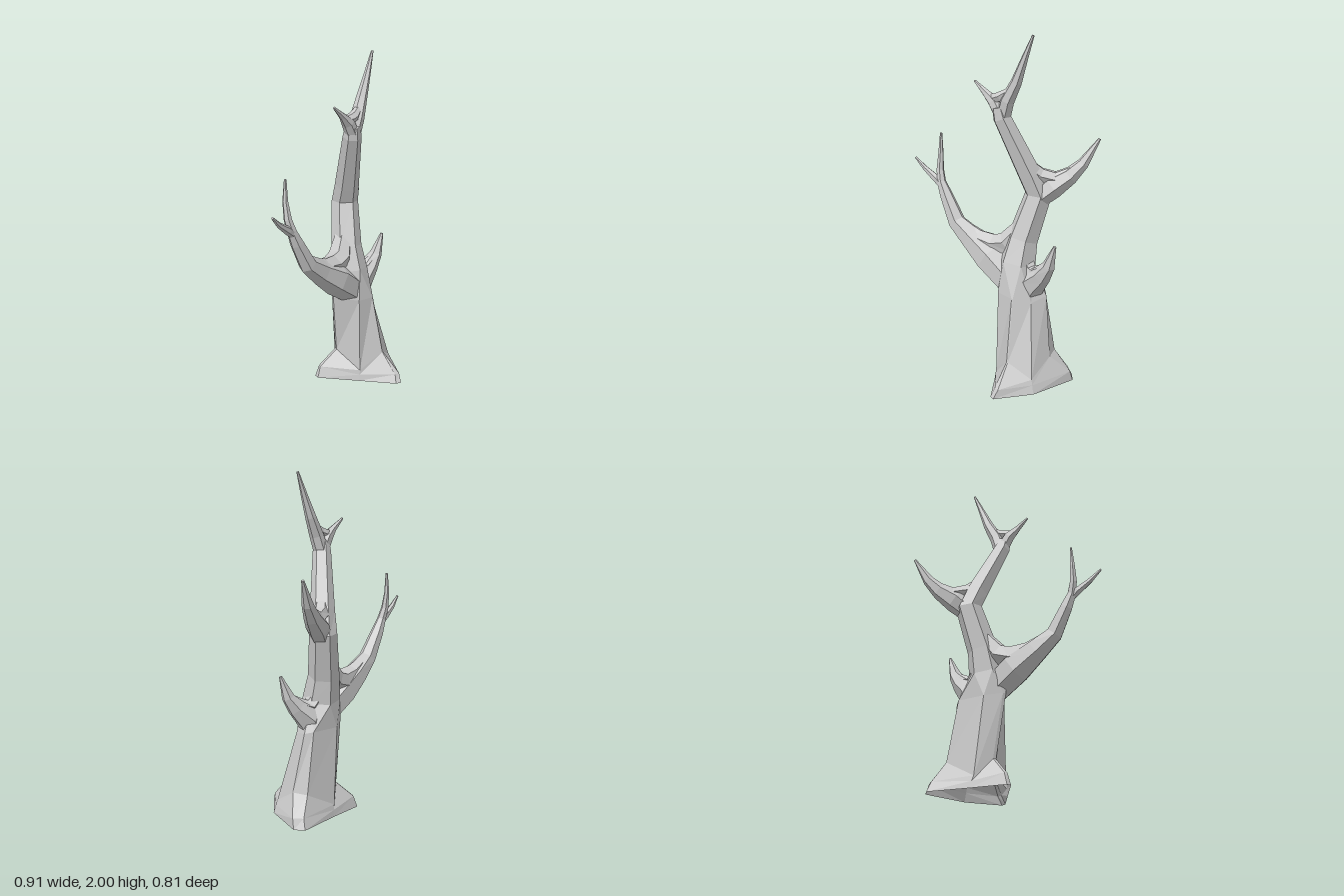
import * as THREE from 'three';

const material = new THREE.MeshStandardMaterial({ color: 0xcccccc, flatShading: true, side: THREE.DoubleSide });

// Skin a stack of equal-sized rings (counter-clockwise about the growth direction); the far end is closed
function loft(name, rings) {
  const pos = [];
  const tri = (a, b, c) => {
    if (a.equals(b) || b.equals(c) || c.equals(a)) return;
    [a, b, c].forEach((p) => pos.push(p.x, p.y, p.z));
  };
  const n = rings[0].length;
  const last = rings[rings.length - 1];
  const tip = last.reduce((s, p) => s.add(p), new THREE.Vector3()).divideScalar(n);
  for (let i = 0; i < n; i++) {
    const j = (i + 1) % n;
    for (let k = 0; k < rings.length - 1; k++) {
      const a = rings[k], b = rings[k + 1];
      tri(a[i], a[j], b[j]);
      tri(a[i], b[j], b[i]);
    }
    tri(last[i], last[j], tip);
  }
  const geometry = new THREE.BufferGeometry();
  geometry.setAttribute('position', new THREE.Float32BufferAttribute(pos, 3));
  geometry.computeVertexNormals();
  const mesh = new THREE.Mesh(geometry, material);
  mesh.name = name;
  return mesh;
}

// Six-sided rings square to a path of stations [x, y, z, radius]
function tubeRings(stations) {
  const pts = stations.map(([x, y, z]) => new THREE.Vector3(x, y, z));
  const u = new THREE.Vector3(0.95, 0, 0.3);
  return pts.map((p, k) => {
    const before = pts[Math.max(k - 1, 0)], after = pts[Math.min(k + 1, pts.length - 1)];
    const t = after.clone().sub(before).normalize();
    u.addScaledVector(t, -u.dot(t)).normalize();
    const v = t.clone().cross(u);
    return Array.from({ length: 6 }, (_, i) => {
      const a = (i / 6) * Math.PI * 2, r = stations[k][3];
      return p.clone().addScaledVector(u, r * Math.cos(a)).addScaledVector(v, r * Math.sin(a));
    });
  });
}

export function createModel() {
  const tree = new THREE.Group();
  tree.name = 'bareTree';
  const limb = (name, stations) => tree.add(loft(name, tubeRings(stations)));
  const ring = (pts) => pts.map((p) => new THREE.Vector3(...p));
  // Six-point rings meet the nine-point root rings by doubling each root ridge
  const widen = (r) => [0, 1, 1, 2, 3, 3, 4, 5, 5].map((i) => r[i]);

  // Trunk, open underneath: right valley, back root, rear valley, left root, front valley, front root; then the stem
  tree.add(loft('trunkAndStem', [
    ring([[0.455, 0, 0.05], [0.4, 0, -0.24], [0.34, 0, -0.27], [0.13, 0, -0.12], [-0.055, 0, 0],
      [-0.05, 0, 0.03], [0.17, 0, 0.16], [0.37, 0, 0.28], [0.405, 0, 0.28]]),
    ring([[0.44, 0.05, 0.05], [0.4, 0.06, -0.22], [0.34, 0.06, -0.24], [0.125, 0.04, -0.11], [-0.03, 0.07, 0],
      [-0.03, 0.07, 0.02], [0.178, 0.04, 0.158], [0.375, 0.05, 0.255], [0.405, 0.05, 0.25]]),
    ring([[0.43, 0.08, 0.05], [0.37, 0.17, -0.1], [0.3, 0.17, -0.17], [0.12, 0.07, -0.1], [0.08, 0.17, 0.0],
      [0.08, 0.17, 0.02], [0.18, 0.07, 0.156], [0.33, 0.17, 0.16], [0.335, 0.17, 0.155]]),
    ring([[0.32, 0.5, 0.0], [0.3, 0.52, -0.11], [0.25, 0.53, -0.13], [0.09, 0.53, -0.06], [0.04, 0.55, 0.04],
      [0.04, 0.55, 0.06], [0.175, 0.54, 0.14], [0.28, 0.53, 0.105], [0.285, 0.53, 0.1]]),
    ...tubeRings([[0.165, 0.7, 0.01, 0.11], [0.16, 0.84, -0.025, 0.092],
      [0.185, 1.1, -0.11, 0.08], [0.175, 1.22, -0.06, 0.072], [0.135, 1.55, 0.095, 0.054],
      [0.13, 1.61, 0.11, 0.042]]).map(widen),
  ]));

  // Fork at the top of the stem
  limb('topTallTwig', [[0.14, 1.55, 0.09, 0.044], [0.17, 1.645, 0.08, 0.042],
    [0.213, 1.75, 0.045, 0.032], [0.255, 1.87, 0.02, 0.02], [0.3, 2.0, -0.01, 0.007]]);
  limb('topShortTwig', [[0.135, 1.56, 0.1, 0.042], [0.095, 1.635, 0.125, 0.037],
    [0.05, 1.68, 0.155, 0.021], [-0.017, 1.74, 0.19, 0.007]]);
  limb('topCrook', [[0.07, 1.66, 0.14, 0.014], [0.11, 1.655, 0.12, 0.03],
    [0.14, 1.665, 0.105, 0.03], [0.185, 1.7, 0.07, 0.02]]);

  // Long branch with its forked end
  limb('longBranch', [[0.17, 0.58, 0.04, 0.09], [0.02, 0.705, 0.115, 0.1], [-0.1, 0.795, 0.18, 0.075],
    [-0.195, 0.88, 0.24, 0.054], [-0.27, 1.03, 0.275, 0.04], [-0.305, 1.11, 0.292, 0.028],
    [-0.326, 1.18, 0.29, 0.023], [-0.335, 1.28, 0.28, 0.016], [-0.332, 1.4, 0.277, 0.007]]);
  limb('longBranchOuterTwig', [[-0.285, 1.075, 0.285, 0.02], [-0.335, 1.125, 0.315, 0.025],
    [-0.4, 1.18, 0.36, 0.016], [-0.45, 1.24, 0.4, 0.007]]);
  limb('longBranchCrook', [[-0.18, 0.875, 0.225, 0.035], [-0.07, 0.8, 0.155, 0.058],
    [0.02, 0.777, 0.09, 0.068], [0.09, 0.8, 0.035, 0.072], [0.15, 0.92, -0.04, 0.05]]);

  // Rear branch
  limb('rearBranch', [[0.19, 1.07, -0.09, 0.06], [0.235, 1.15, -0.18, 0.068], [0.285, 1.215, -0.26, 0.05],
    [0.325, 1.29, -0.32, 0.034], [0.37, 1.43, -0.395, 0.008]]);
  limb('rearBranchCrook', [[0.17, 1.3, -0.025, 0.035], [0.198, 1.215, -0.11, 0.05],
    [0.245, 1.195, -0.195, 0.046], [0.305, 1.25, -0.29, 0.034]]);

  // Short side branch
  limb('sideBranch', [[0.21, 0.5, -0.02, 0.08], [0.255, 0.6, -0.035, 0.086], [0.335, 0.67, -0.06, 0.058],
    [0.385, 0.735, -0.075, 0.038], [0.43, 0.86, -0.088, 0.009]]);
  limb('sideBranchCrook', [[0.18, 0.74, -0.02, 0.05], [0.24, 0.66, -0.03, 0.055],
    [0.3, 0.665, -0.05, 0.048], [0.37, 0.715, -0.07, 0.034]]);

  return tree;
}
